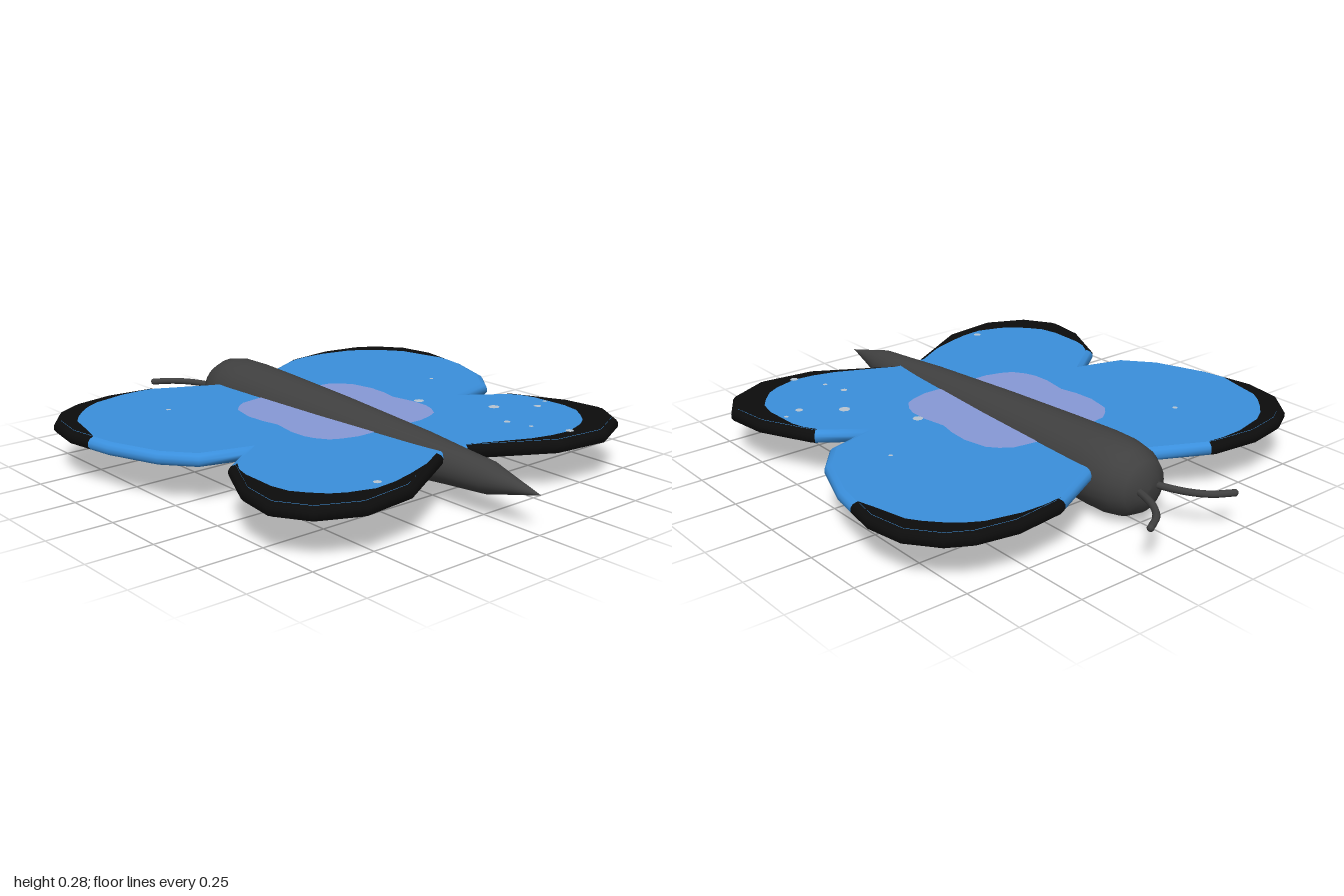
import * as THREE from 'three';

const mat = (name, color, side = THREE.DoubleSide) => {
  const m = new THREE.MeshStandardMaterial({ color, side });
  m.name = name;
  return m;
};

const MID = 0.173, HALF = 0.025; // wing mid height and half thickness

// Wing outline (x, z) from the head end round to the tail end
const OUTLINE = [
  [0, -0.57], [0.14, -0.645], [0.345, -0.748], [0.365, -0.757], [0.555, -0.778], [0.71, -0.75], [0.8, -0.7],
  [0.885, -0.59], [0.91, -0.44], [0.892, -0.33], [0.875, -0.23], [0.8, -0.03], [0.705, 0.085],
  [0.55, 0.13], [0.68, 0.225], [0.69, 0.235], [0.79, 0.44], [0.81, 0.6], [0.73, 0.73],
  [0.57, 0.805], [0.355, 0.78], [0.06, 0.61], [0, 0.58],
];
// Dark rims: range of outline points plus the inner boundary
const RIMS = [
  { from: 2, to: 9, inner: [[0.34, -0.727], [0.42, -0.733], [0.51, -0.73], [0.64, -0.7], [0.70, -0.665], [0.745, -0.625],
    [0.79, -0.575], [0.82, -0.53], [0.845, -0.42]] },
  { from: 14, to: 21, inner: [[0.655, 0.24], [0.685, 0.29], [0.7, 0.345], [0.705, 0.49], [0.69, 0.56], [0.655, 0.61],
    [0.61, 0.66], [0.56, 0.69], [0.465, 0.72], [0.38, 0.712], [0.295, 0.69], [0.165, 0.645]] },
];
const PATCH = [[0, -0.345], [0.12, -0.345], [0.215, -0.33], [0.255, -0.3], [0.285, -0.265], [0.305, -0.17], [0.3, -0.09],
  [0.285, -0.02], [0.302, 0.08], [0.3, 0.15], [0.285, 0.195], [0.255, 0.24], [0.215, 0.26], [0.15, 0.278], [0, 0.275]];
// Pale specks: x, z, radius
const SPECKS = [[0.32, 0.09, 0.02], [0.48, 0.335, 0.022], [0.615, 0.435, 0.015], [0.375, 0.5, 0.013],
  [0.4, 0.595, 0.009], [0.465, 0.72, 0.016], [0.685, 0.41, 0.009], [0.585, -0.115, 0.008],
  [-0.485, -0.435, 0.01], [-0.425, 0.68, 0.015]];

// Outline moved inwards by d with mitred corners
function inset(d) {
  const n = OUTLINE.length;
  const normal = (a, b) => {
    const l = Math.hypot(b[0] - a[0], b[1] - a[1]);
    return [-(b[1] - a[1]) / l, (b[0] - a[0]) / l];
  };
  return OUTLINE.map((p, i) => {
    if (i === 0 || i === n - 1) return p;
    const u = normal(OUTLINE[i - 1], p), v = normal(p, OUTLINE[i + 1]);
    const k = d / (1 + u[0] * v[0] + u[1] * v[1]);
    return [p[0] + (u[0] + v[0]) * k, p[1] + (u[1] + v[1]) * k];
  });
}

// Flat plate in the ground plane, facing up
function plate(points, y, s) {
  const shape = new THREE.Shape(points.map(([x, z]) => new THREE.Vector2(x * s, -z)));
  return new THREE.ShapeGeometry(shape).rotateX(-Math.PI / 2).translate(0, y, 0);
}

// Rounded wing edge between two outline points
const SECTION = [[0.025, 1], [0.008, 0.75], [0, 0.3], [0, -0.3], [0.008, -0.75], [0.025, -1]];
function edge(from, to, s) {
  const loops = SECTION.map(([d]) => inset(d));
  const pos = [], idx = [], m = SECTION.length;
  for (let i = from; i <= to; i++) {
    SECTION.forEach(([, h], j) => pos.push(loops[j][i][0] * s, MID + h * HALF, loops[j][i][1]));
    if (i === to) continue;
    for (let j = 0; j < m - 1; j++) {
      const a = (i - from) * m + j, b = a + m;
      if (s > 0) idx.push(a, b, a + 1, b, b + 1, a + 1);
      else idx.push(a, a + 1, b, b, a + 1, b + 1);
    }
  }
  const g = new THREE.BufferGeometry();
  g.setAttribute('position', new THREE.Float32BufferAttribute(pos, 3));
  g.setIndex(idx);
  g.computeVertexNormals();
  return g;
}

export function createModel() {
  const blue = mat('wing blue', 0x3a8fdc);
  const black = mat('rim black', 0x0c0c0c);
  const lilac = mat('centre lilac', 0x8799d6);
  const pale = mat('speck pale', 0xb8c4d0);
  const grey = mat('body grey', 0x404040, THREE.FrontSide);
  const model = new THREE.Group();
  const add = (parent, name, geo, material) => {
    const mesh = new THREE.Mesh(geo, material);
    mesh.name = name;
    parent.add(mesh);
    return mesh;
  };

  // Body: one tapered lathe lying along z
  const profile = [[0, -1], [0.03, -0.88], [0.058, -0.77], [0.07, -0.62], [0.086, -0.44], [0.113, 0],
    [0.13, 0.35], [0.138, 0.55], [0.137, 0.64], [0.124, 0.71], [0.095, 0.76], [0.05, 0.785], [0, 0.79]];
  const bodyGeo = new THREE.LatheGeometry(profile.map(p => new THREE.Vector2(...p)), 24);
  add(model, 'body', bodyGeo.rotateX(-Math.PI / 2).translate(0, 0.142, 0), grey);

  const rimOuter = inset(0.025);
  for (const s of [1, -1]) {
    const side = s > 0 ? 'left' : 'right';
    const wing = new THREE.Group();
    wing.name = side + 'Wings';
    model.add(wing);

    // Upper and lower faces, with painted plates laid on them
    for (const f of [1, -1]) {
      const layer = k => MID + f * (HALF + k * 0.0015);
      add(wing, 'wingFace', plate(rimOuter, layer(0), s), blue);
      add(wing, 'centrePatch', plate(PATCH, layer(1), s), lilac);
      for (const { from, to, inner } of RIMS) {
        const ring = [...rimOuter.slice(from, to + 1), ...[...inner].reverse()];
        add(wing, 'darkRim', plate(ring, layer(1), s), black);
      }
      for (const [x, z, r] of SPECKS.filter(p => p[0] * s > 0)) {
        const dot = new THREE.CircleGeometry(r, 8).rotateX(-Math.PI / 2).translate(x, layer(2), z);
        add(wing, 'speck', dot, pale);
      }
    }

    // Rounded edges: dark along the rims, blue elsewhere
    for (const [a, b, m] of [[0, 2, blue], [2, 9, black], [9, 14, blue], [14, 21, black], [21, 22, blue]]) {
      add(wing, 'wingEdge', edge(a, b, s), m);
    }

    // Antenna curving outwards from the head
    const path = new THREE.CatmullRomCurve3([[0.035, -0.74], [0.045, -0.79], [0.08, -0.88], [0.13, -0.945], [0.198, -0.987]]
      .map(([x, z]) => new THREE.Vector3(x * s, 0.145, z)));
    add(model, side + 'Antenna', new THREE.TubeGeometry(path, 16, 0.013, 8), grey);
    add(model, side + 'AntennaTip', new THREE.SphereGeometry(0.013, 8, 6).translate(0.198 * s, 0.145, -0.987), grey);
  }
  return model;
}
